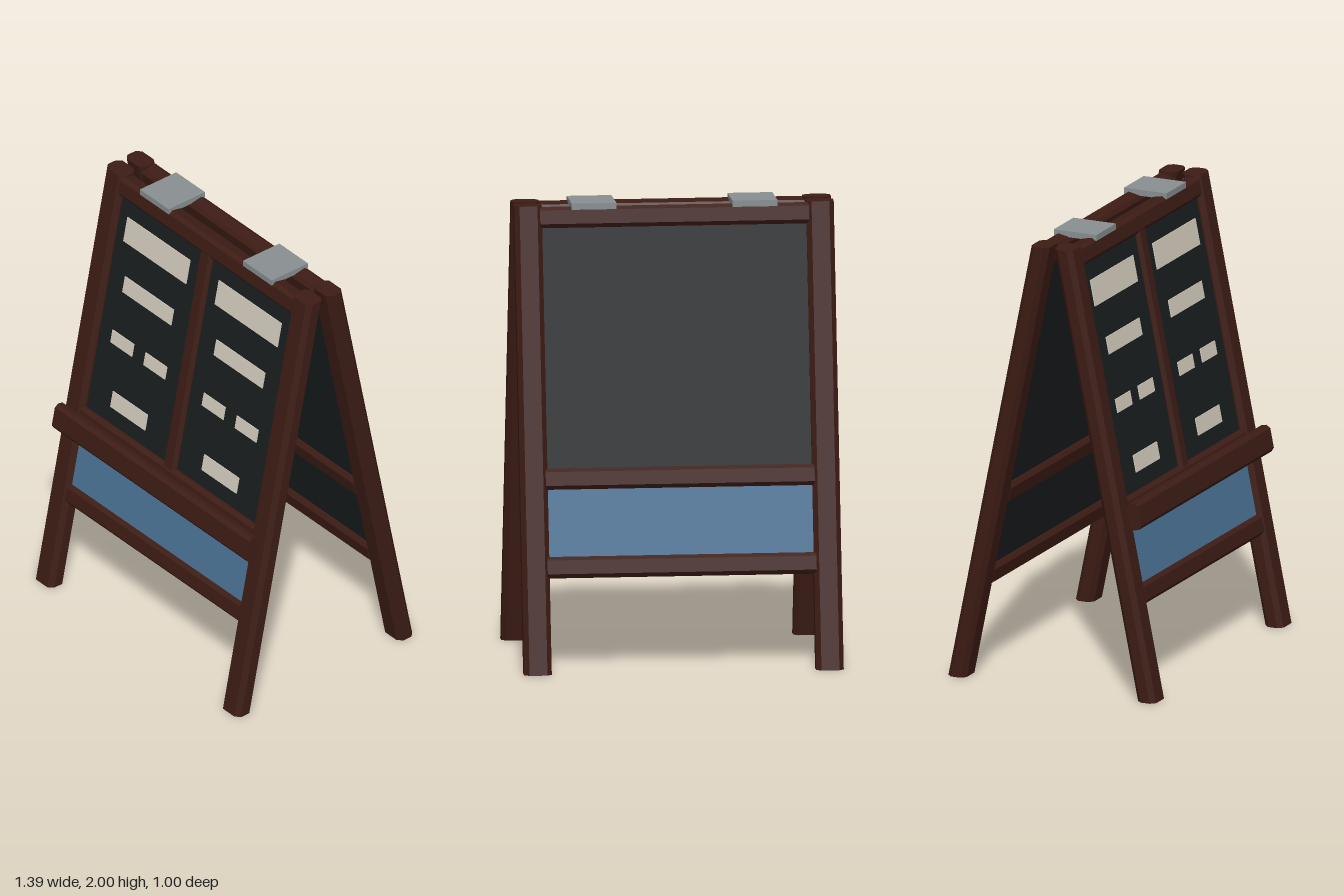
import * as THREE from 'three';

const LEAN = Math.atan(0.4 / 1.99);
const COS = Math.cos(LEAN);

const material = (color) => new THREE.MeshStandardMaterial({ color });
const wood = material(0x3d1c15);
const slate = material(0x1a1d1f);
const blue = material(0x4b7396);
const cream = material(0xd3ccbd);
const metal = material(0x899092);

// Bar with chamfered long edges, w by h in section, running along z and centred
function chamferedBar(w, h, length, c) {
  const x = w / 2, y = h / 2;
  const section = new THREE.Shape([
    [-x + c, -y], [x - c, -y], [x, -y + c], [x, y - c],
    [x - c, y], [-x + c, y], [-x, y - c], [-x, -y + c],
  ].map(([px, py]) => new THREE.Vector2(px, py)));
  return new THREE.ExtrudeGeometry(section, { depth: length, bevelEnabled: false })
    .translate(0, 0, -length / 2);
}

function addMesh(parent, name, geometry, mat, x = 0, y = 0, z = 0) {
  const mesh = new THREE.Mesh(geometry, mat);
  mesh.name = name;
  mesh.position.set(x, y, z);
  parent.add(mesh);
  return mesh;
}

// Leg with level ends: upright bar sheared so that it leans inwards
function legGeometry() {
  const g = chamferedBar(0.12, 0.087, 1.99, 0.021);
  g.rotateX(-Math.PI / 2).translate(0, 0.995, 0);
  g.applyMatrix4(new THREE.Matrix4().set(
    1, 0, 0, 0,
    0, 1, 0, 0,
    0, -0.4 / 1.99, 1, 0.455,
    0, 0, 0, 1));
  g.computeVertexNormals();
  return g;
}

// One side of the stand: two legs and a leaning frame with its boards
function createSide(name) {
  const side = new THREE.Group();
  side.name = name;
  for (const s of [-1, 1]) addMesh(side, s > 0 ? 'leftLeg' : 'rightLeg', legGeometry(), wood, s * 0.635);

  const frame = new THREE.Group();
  frame.name = 'leaningFrame';
  frame.position.z = 0.455;
  frame.rotation.x = -LEAN;
  side.add(frame);

  // Cross rails
  const rails = { lowerRail: 0.45, middleRail: 0.825, topRail: 1.935 };
  for (const [railName, y] of Object.entries(rails)) {
    const g = chamferedBar(0.08, 0.092, 1.17, 0.016).rotateY(Math.PI / 2);
    addMesh(frame, railName, g, wood, 0, y / COS);
  }

  // Writing board, lower backing board and its blue facing
  addMesh(frame, 'writingBoard', new THREE.BoxGeometry(1.17, 1.06 / COS, 0.032), slate, 0, 1.38 / COS);
  addMesh(frame, 'lowerBoard', new THREE.BoxGeometry(1.17, 0.32 / COS, 0.032), slate, 0, 0.637 / COS);
  addMesh(frame, 'bluePanel', new THREE.BoxGeometry(1.165, 0.31 / COS, 0.008), blue, 0, 0.637 / COS, 0.018);
  return { side, frame };
}

export function createModel() {
  const model = new THREE.Group();
  model.name = 'sandwichBoard';

  const front = createSide('frontSide');
  const back = createSide('backSide');
  back.side.rotation.y = Math.PI;
  model.add(front.side, back.side);

  // Upright divider on the front
  const divider = chamferedBar(0.08, 0.07, 1.04 / COS, 0.015).rotateX(-Math.PI / 2);
  addMesh(front.frame, 'divider', divider, wood, 0, 1.38 / COS);

  // Chalk ledge
  const ledge = chamferedBar(0.12, 0.056, 1.32, 0.016).rotateY(Math.PI / 2).rotateX(Math.PI / 2);
  addMesh(front.frame, 'chalkLedge', ledge, wood, 0, 0.82, 0.093);

  // Blank notes on both halves: x offset, height, width, tall
  const notes = [
    [0, 1.76, 0.425, 0.115],
    [0, 1.517, 0.33, 0.075],
    [-0.112, 1.257, 0.145, 0.06],
    [0.112, 1.257, 0.145, 0.06],
    [0, 0.985, 0.235, 0.075],
  ];
  for (const cx of [-0.31, 0.31]) {
    for (const [x, y, w, h] of notes) {
      addMesh(front.frame, 'note', new THREE.BoxGeometry(w, h / COS, 0.006), cream,
        cx + x, (y - 0.004) / COS, 0.018);
    }
  }

  // Hinge plates bridging both sides
  for (const x of [-0.35, 0.35]) {
    addMesh(model, 'hingePlate', new THREE.BoxGeometry(0.195, 0.027, 0.204), metal, x, 1.9865);
  }
  return model;
}
